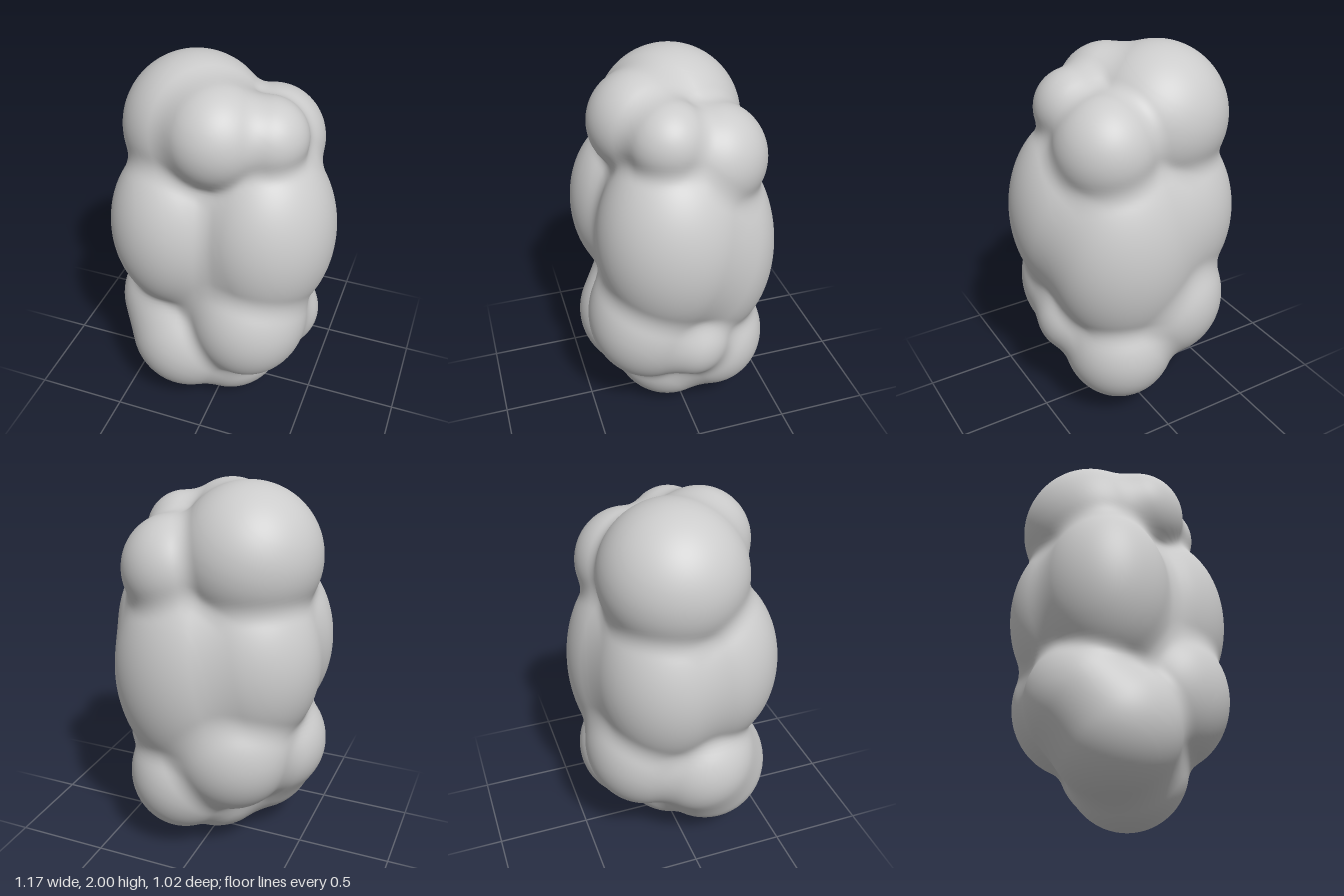
import * as THREE from 'three';
import { mergeVertices } from 'three/addons/utils/BufferGeometryUtils.js';

// Each lobe: centre x, y, z, then radii x, y, z
const LOBES = [
  // crown
  [-0.18, 1.63, -0.03, 0.37, 0.37, 0.37],
  [-0.01, 1.71, 0.165, 0.255, 0.26, 0.26],
  [0.22, 1.70, 0.09, 0.2, 0.2, 0.2],
  [0.18, 1.56, -0.15, 0.262, 0.275, 0.265],
  // long middle lobes
  [-0.235, 1.14, 0.165, 0.335, 0.47, 0.33],
  [0.21, 1.15, 0.065, 0.37, 0.52, 0.39],
  [0.08, 1.01, -0.15, 0.42, 0.57, 0.36],
  [-0.19, 1.1, -0.08, 0.39, 0.5, 0.36],
  // lower ring
  [-0.17, 0.43, 0.17, 0.33, 0.34, 0.33],
  [-0.28, 0.58, 0.08, 0.305, 0.31, 0.31],
  [0.17, 0.67, 0.185, 0.32, 0.37, 0.325],
  [0.3, 0.57, -0.01, 0.21, 0.22, 0.21],
  [0.12, 0.42, -0.17, 0.3, 0.32, 0.3],
  [-0.15, 0.64, -0.18, 0.33, 0.35, 0.315],
  // base and inner core
  [0.02, 0.31, 0.04, 0.31, 0.31, 0.31],
  [0, 1.0, 0, 0.42, 0.72, 0.41],
];
const BLEND = 0.06;

// Approximate distance to one ellipsoid
function lobeDistance(p, [cx, cy, cz, rx, ry, rz]) {
  const x = (p.x - cx) / rx, y = (p.y - cy) / ry, z = (p.z - cz) / rz;
  const k0 = Math.hypot(x, y, z);
  const k1 = Math.hypot(x / rx, y / ry, z / rz);
  return k1 < 1e-6 ? -Math.min(rx, ry, rz) : (k0 * (k0 - 1)) / k1;
}

// Distance to all lobes, with softened creases
function clusterDistance(p) {
  let d = 10;
  for (const lobe of LOBES) {
    const e = lobeDistance(p, lobe);
    const h = Math.max(BLEND - Math.abs(d - e), 0) / BLEND;
    d = Math.min(d, e) - h * h * BLEND * 0.25;
  }
  return d;
}

export function createModel() {
  const group = new THREE.Group();
  group.name = 'lobedCluster';

  // A closed sphere grid, shrunk onto the lobes from outside
  let geometry = new THREE.SphereGeometry(1, 220, 180);
  geometry.deleteAttribute('uv');
  geometry.deleteAttribute('normal');
  geometry = mergeVertices(geometry, 1e-5);

  const position = geometry.attributes.position;
  const dir = new THREE.Vector3(), origin = new THREE.Vector3(), p = new THREE.Vector3();
  for (let i = 0; i < position.count; i++) {
    dir.fromBufferAttribute(position, i).normalize();
    origin.set(0, 1 + 0.6 * dir.y, 0); // origins spread along an upright spine
    let t = 1;
    for (let step = 0; step < 60; step++) {
      p.copy(origin).addScaledVector(dir, t);
      const d = clusterDistance(p);
      if (Math.abs(d) < 0.0003) break;
      t = Math.max(t - d * 0.8, 0.05);
    }
    position.setXYZ(i, p.x, p.y, p.z);
  }
  geometry.computeVertexNormals();

  const body = new THREE.Mesh(geometry, new THREE.MeshStandardMaterial({ color: 0xcccccc }));
  body.name = 'lobedBody';
  group.add(body);
  return group;
}
